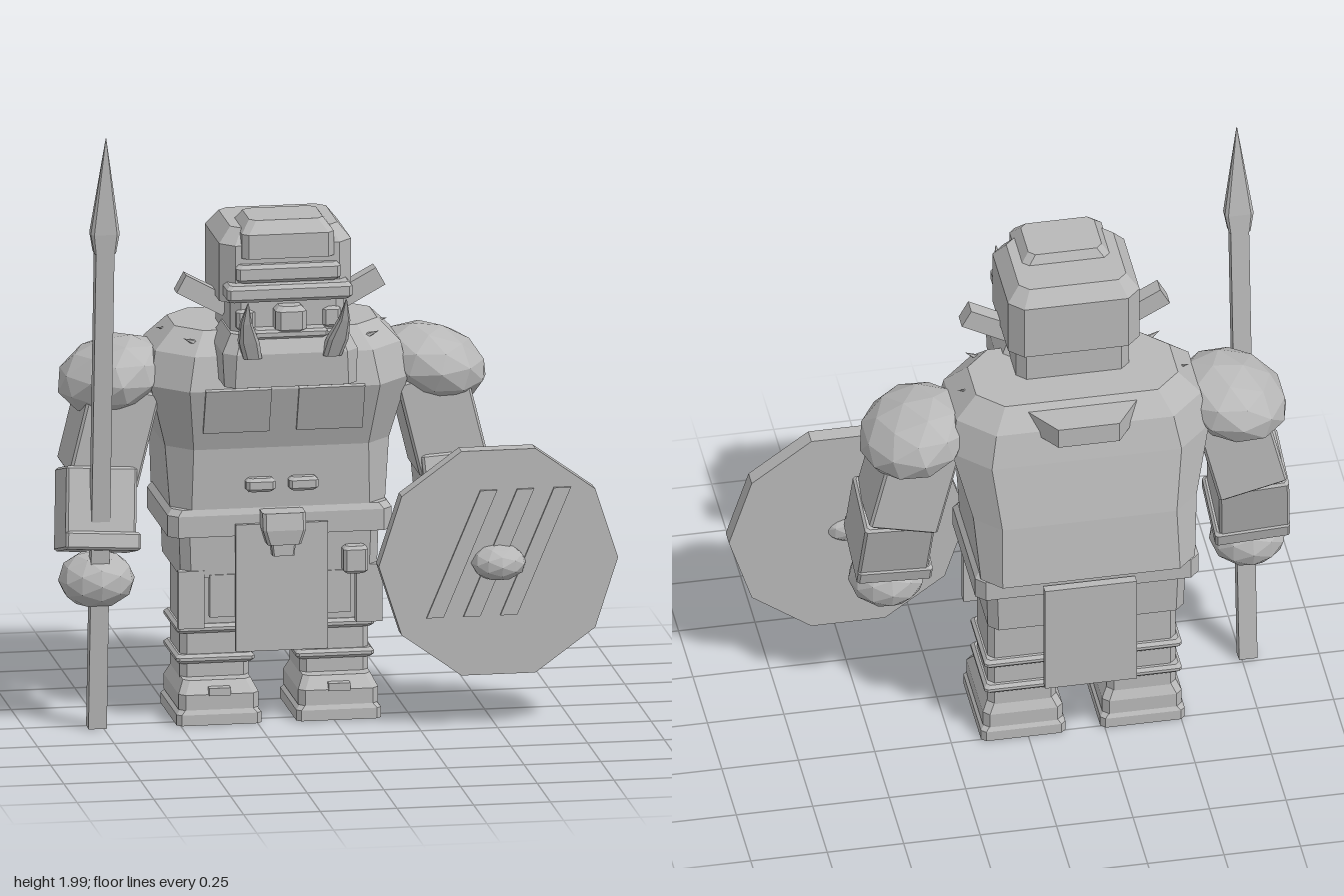
import * as THREE from 'three';

const stone = new THREE.MeshStandardMaterial({ color: 0xb8b8b8 });
stone.name = 'stone grey';

function add(parent, name, geometry, x = 0, y = 0, z = 0, rx = 0, ry = 0, rz = 0) {
  const geo = geometry.index ? geometry.toNonIndexed() : geometry;
  geo.computeVertexNormals(); // faceted look
  const mesh = new THREE.Mesh(geo, stone);
  mesh.name = name;
  mesh.position.set(x, y, z);
  mesh.rotation.set(rx, ry, rz);
  parent.add(mesh);
  return mesh;
}

// Stacked eight-cornered rings: [y, halfWidth, zFront, zBack, cornerCut, xOffset]
function loft(rings) {
  const pos = [], idx = [], n = 8;
  for (const [y, w, f, b, c = 0.02, x = 0] of rings) {
    const corners = [[w, f - c], [w, b + c], [w - c, b], [c - w, b], [-w, b + c], [-w, f - c], [c - w, f], [w - c, f]];
    for (const [px, pz] of corners) pos.push(px + x, y, pz);
  }
  for (let r = 0; r < rings.length - 1; r++) {
    for (let i = 0; i < n; i++) {
      const a = r * n + i, b = r * n + (i + 1) % n;
      idx.push(a, b, b + n, a, b + n, a + n);
    }
  }
  const top = (rings.length - 1) * n;
  for (let i = 1; i < n - 1; i++) idx.push(0, i + 1, i, top, top + i, top + i + 1);
  const geo = new THREE.BufferGeometry();
  geo.setAttribute('position', new THREE.Float32BufferAttribute(pos, 3));
  geo.setIndex(idx);
  return geo;
}

// Box with bevelled edges, centred on the origin
function block(w, h, d, c = 0.02) {
  const x = w / 2, y = h / 2, z = d / 2;
  return loft([[-y, x - c, z - c, c - z, c], [c - y, x, z, -z, c], [y - c, x, z, -z, c], [y, x - c, z - c, c - z, c]]);
}

const box = (w, h, d) => new THREE.BoxGeometry(w, h, d);
const ball = (x, y, z, detail = 1) => new THREE.IcosahedronGeometry(1, detail).scale(x, y, z);

function buildTorso(g) {
  add(g, 'torso', loft([
    [0.71, 0.35, 0.09, -0.40, 0.06], [0.92, 0.365, 0.10, -0.37, 0.08],
    [1.13, 0.42, 0.175, -0.32, 0.11], [1.24, 0.40, 0.15, -0.29, 0.11], [1.31, 0.33, 0.08, -0.23, 0.08]]));
  add(g, 'belt', loft([
    [0.63, 0.365, 0.10, -0.35, 0.03], [0.70, 0.365, 0.10, -0.35, 0.03], [0.72, 0.35, 0.09, -0.34, 0.03]]));
  add(g, 'hips', loft([[0.49, 0.32, 0.08, -0.33, 0.03], [0.64, 0.325, 0.085, -0.335, 0.03]]));
  add(g, 'frontCloth', box(0.30, 0.42, 0.02), 0, 0.46, 0.105);
  add(g, 'backCloth', box(0.30, 0.39, 0.03), 0, 0.475, -0.375);
  add(g, 'buckle', loft([
    [0.57, 0.035, 0.15, 0.10, 0.005], [0.61, 0.04, 0.15, 0.10, 0.005],
    [0.611, 0.055, 0.17, 0.10, 0.01], [0.66, 0.07, 0.175, 0.10, 0.01], [0.715, 0.07, 0.165, 0.09, 0.01]]));
  // Collar plate narrowing toward the back
  const collar = new THREE.Shape([[-0.21, 0.2], [0.21, 0.2], [0.1, 0.36], [-0.1, 0.36]].map(p => new THREE.Vector2(...p)));
  add(g, 'backCollar', new THREE.ExtrudeGeometry(collar, { depth: 0.07, bevelEnabled: false }), 0, 1.22, 0, -Math.PI / 2);
  for (const s of [-1, 1]) {
    add(g, 'chestPlate', box(0.215, 0.16, 0.02), s * 0.152, 1.06, 0.15, 0.34);
    add(g, 'stomachPlate', block(0.095, 0.045, 0.05, 0.01), s * 0.07, 0.80, 0.105);
    add(g, 'collarSpike', new THREE.ConeGeometry(0.025, 0.11, 5), s * 0.27, 1.27, 0.09, 0.5, 0, -s * 1.1);
    add(g, 'backSpike', new THREE.ConeGeometry(0.015, 0.08, 5), s * 0.34, 1.28, -0.085, 0, 0, -s * 1.4);
    add(g, 'outerThighPlate', box(0.085, 0.19, 0.03), s * 0.29, 0.42, 0.07);
    add(g, 'innerThighPlate', box(0.09, 0.14, 0.03), s * 0.185, 0.43, 0.07);
  }
  add(g, 'pouch', block(0.08, 0.09, 0.06, 0.01), 0.24, 0.54, 0.10);
}

function buildHead(g) {
  add(g, 'neck', block(0.37, 0.32, 0.34, 0.03), 0, 1.31, 0.07);
  add(g, 'jaw', loft([
    [1.17, 0.215, 0.305, 0.0, 0.03], [1.28, 0.22, 0.31, 0.0, 0.04], [1.34, 0.19, 0.28, 0.03, 0.03]]));
  add(g, 'skull', loft([
    [1.43, 0.215, 0.22, -0.14, 0.045], [1.62, 0.215, 0.22, -0.14, 0.045], [1.67, 0.175, 0.18, -0.10, 0.03]]));
  add(g, 'crown', loft([
    [1.58, 0.15, 0.245, 0.02, 0.02], [1.66, 0.15, 0.245, 0.02, 0.02], [1.70, 0.12, 0.21, 0.04, 0.02]]));
  add(g, 'upperBrow', block(0.34, 0.06, 0.10, 0.012), 0, 1.53, 0.20);
  add(g, 'brow', block(0.41, 0.055, 0.12, 0.012), 0, 1.47, 0.215);
  add(g, 'nose', block(0.10, 0.09, 0.09, 0.015), 0, 1.385, 0.255);
  add(g, 'upperLip', block(0.24, 0.03, 0.07, 0.008), 0, 1.34, 0.26);
  for (const s of [-1, 1]) {
    add(g, 'ear', box(0.17, 0.065, 0.055), s * 0.25, 1.43, 0.07, 0, 0, s * 0.5);
    add(g, 'cheek', block(0.06, 0.07, 0.06, 0.01), s * 0.14, 1.38, 0.22);
    add(g, 'tusk', loft([
      [1.27, 0.03, 0.33, 0.26, 0.012, s * 0.13], [1.33, 0.033, 0.355, 0.295, 0.012, s * 0.145],
      [1.40, 0.018, 0.383, 0.345, 0.007, s * 0.16], [1.475, 0.002, 0.406, 0.403, 0.0005, s * 0.16]]));
  }
}

function buildArm(g, s) {
  const arm = new THREE.Group();
  arm.name = s > 0 ? 'leftArm' : 'rightArm';
  add(arm, 'shoulder', ball(0.185, 0.12, 0.205), s * 0.52, 1.14, -0.08, 0, 0, -s * 0.3);
  add(arm, 'upperArm', block(0.23, 0.32, 0.24, 0.008), s * 0.535, 0.97, -0.06, 0, 0, s * 0.24);
  add(arm, 'forearm', block(0.23, 0.23, 0.235, 0.008), s * 0.585, 0.73, -0.015, -0.27, 0, s * 0.06);
  add(arm, 'cuff', block(0.245, 0.06, 0.25, 0.008), s * 0.585, 0.61, 0.02, -0.27, 0, s * 0.06);
  add(arm, 'hand', ball(0.125, 0.095, 0.12), s * 0.59, 0.49, 0.028);
  g.add(arm);
}

function buildLeg(g, s) {
  const leg = new THREE.Group();
  leg.name = s > 0 ? 'leftLeg' : 'rightLeg';
  leg.position.x = s * 0.195;
  add(leg, 'sole', loft([
    [0, 0.138, 0.07, -0.265, 0.015], [0.035, 0.138, 0.07, -0.265, 0.015], [0.05, 0.125, 0.06, -0.255, 0.015]]));
  add(leg, 'boot', loft([
    [0.05, 0.13, 0.065, -0.26, 0.02], [0.10, 0.13, 0.065, -0.26, 0.02], [0.14, 0.11, 0.03, -0.24, 0.02]]));
  add(leg, 'bootStrap', box(0.07, 0.025, 0.03), 0, 0.11, 0.06);
  add(leg, 'shin', loft([[0.12, 0.112, -0.02, -0.245, 0.02], [0.55, 0.112, -0.02, -0.245, 0.02]]));
  for (const y of [0.20, 0.30]) add(leg, 'legStrap', block(0.255, 0.03, 0.26, 0.01), 0, y, -0.135);
  g.add(leg);
}

function buildSpear(g) {
  const spear = new THREE.Group();
  spear.name = 'spear';
  spear.position.set(-0.77, 0, 0.03);
  spear.rotation.x = 0.09;
  add(spear, 'shaft', box(0.06, 1.63, 0.045), 0, 0.815, 0);
  add(spear, 'spearhead', loft([
    [1.615, 0.035, 0.025, -0.025, 0.005], [1.68, 0.047, 0.025, -0.025, 0.01], [2.0, 0.001, 0.001, -0.001, 0.0005]]));
  g.add(spear);
}

function buildShield(g) {
  const shield = new THREE.Group();
  shield.name = 'shield';
  shield.position.set(0.5, 0.55, 0.2375);
  const disc = new THREE.CylinderGeometry(0.39, 0.39, 0.055, 10, 1, false, Math.PI / 10);
  add(shield, 'shieldDisc', disc, 0, 0, 0, Math.PI / 2);
  add(shield, 'boss', ball(0.09, 0.06, 0.085), 0, 0, 0.027);
  // Slanted raised strips
  const strip = new THREE.Shape([[-0.115, -0.175], [-0.06, -0.175], [0.115, 0.24], [0.06, 0.24]].map(p => new THREE.Vector2(...p)));
  for (const x of [-0.12, 0, 0.12]) {
    add(shield, 'strip', new THREE.ExtrudeGeometry(strip, { depth: 0.009, bevelEnabled: false }), x, 0, 0.027);
  }
  g.add(shield);
}

export function createModel() {
  const model = new THREE.Group();
  model.name = 'warrior';
  const body = new THREE.Group();
  body.name = 'body';
  body.position.x = -0.18;
  model.add(body);
  buildTorso(body);
  buildHead(body);
  for (const s of [-1, 1]) {
    buildArm(body, s);
    buildLeg(body, s);
  }
  buildSpear(model);
  buildShield(model);
  return model;
}
